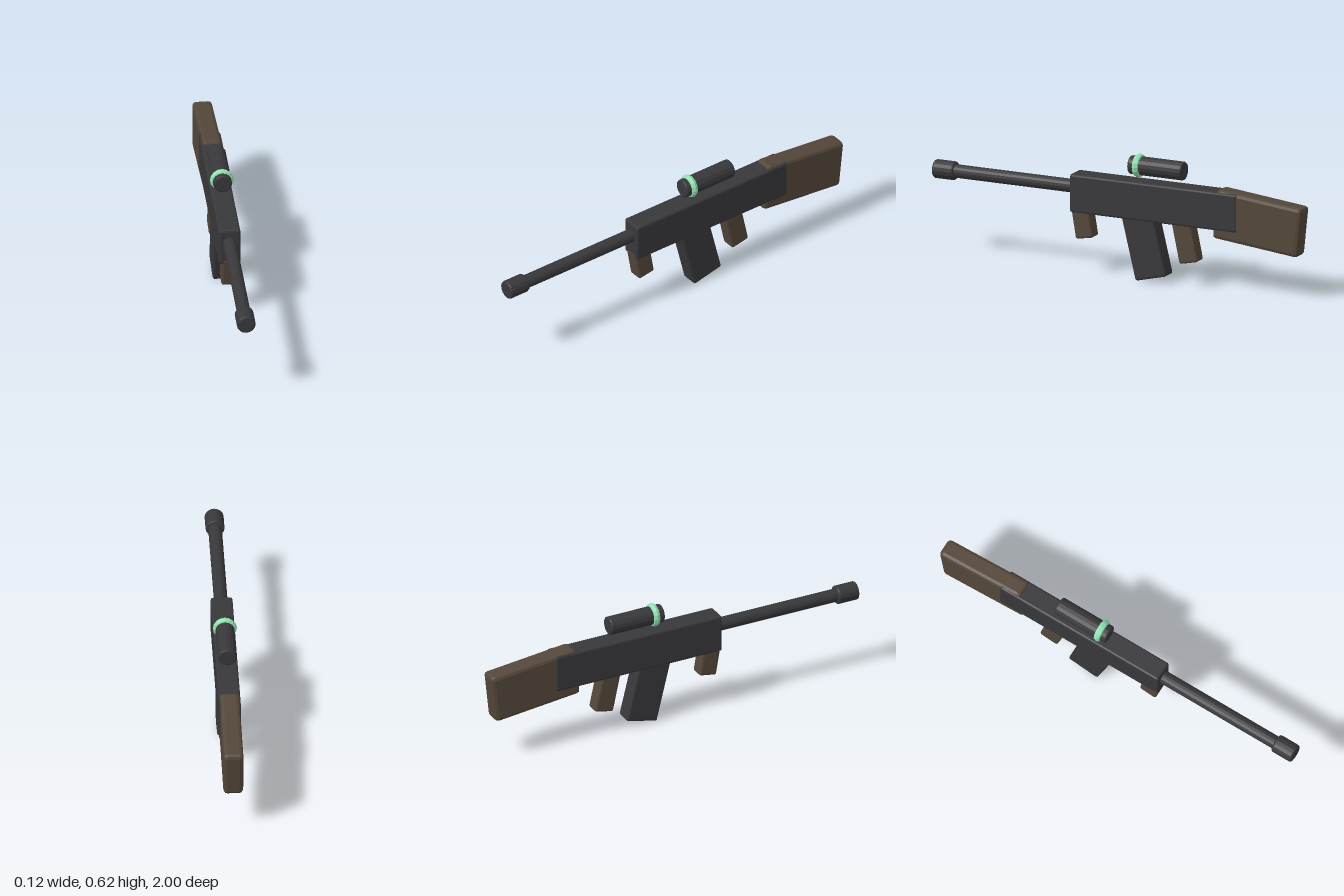
import * as THREE from 'three';
import { RoundedBoxGeometry } from 'three/addons/geometries/RoundedBoxGeometry.js';

export function createModel() {
  const group = new THREE.Group();
  const material = (color) => new THREE.MeshStandardMaterial({ color, flatShading: true });
  const metal = material(0x38383b);
  const wood = material(0x54473a);
  const accent = material(0x90e0b0);

  function add(name, geometry, mat, y, z, tilt = 0) {
    const mesh = new THREE.Mesh(geometry, mat);
    mesh.name = name;
    mesh.position.set(0, y, z);
    mesh.rotation.x = tilt;
    group.add(mesh);
  }

  // Bevelled block, tilted about the x axis
  function block(name, mat, [w, h, d], bevel, y, z, tilt) {
    add(name, new RoundedBoxGeometry(w, h, d, 1, bevel), mat, y, z, tilt);
  }

  // Cylinder along z with bevelled rims
  function rod(name, radius, z0, z1, y, bevel) {
    const h = (z1 - z0) / 2;
    const k = bevel * 0.3;
    const profile = [
      [0, -h], [radius - bevel, -h], [radius - k, -h + k], [radius, -h + bevel],
      [radius, h - bevel], [radius - k, h - k], [radius - bevel, h], [0, h],
    ].map(([r, t]) => new THREE.Vector2(r, t));
    const geometry = new THREE.LatheGeometry(profile, 16).rotateX(Math.PI / 2);
    add(name, geometry, metal, y, (z0 + z1) / 2);
  }

  // Body and stock
  block('receiver', metal, [0.106, 0.19, 0.9], 0.01, 0.4, -0.2, 0);
  block('stock', wood, [0.096, 0.247, 0.46], 0.018, 0.362, -0.756, -0.105);

  // Parts hanging below the receiver
  block('magazine', metal, [0.088, 0.34, 0.168], 0.01, 0.186, -0.141, 0.24);
  block('rearGrip', wood, [0.074, 0.21, 0.1], 0.01, 0.223, -0.36, 0.21);
  block('frontGrip', wood, [0.074, 0.16, 0.092], 0.01, 0.257, 0.194, 0.17);

  // Barrel
  rod('barrel', 0.033, 0.2, 0.92, 0.424, 0.005);
  rod('muzzle', 0.046, 0.888, 1.0, 0.424, 0.009);

  // Scope with its coloured ring
  rod('scope', 0.046, -0.345, -0.055, 0.567, 0.008);
  add('scopeRing', new THREE.TorusGeometry(0.039, 0.0195, 8, 16), accent, 0.567, -0.1);

  return group;
}
